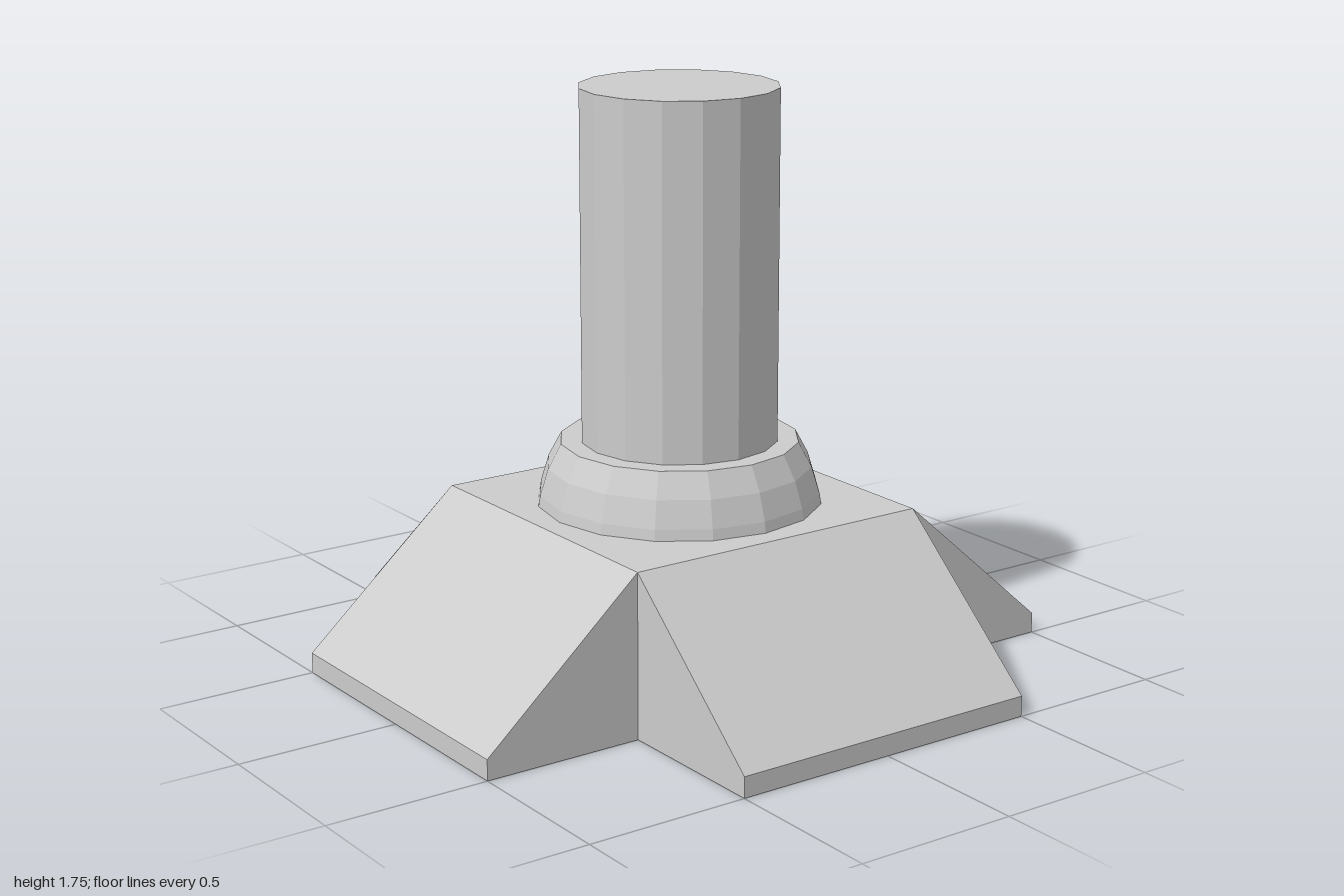
import * as THREE from 'three';

export function createModel() {
  const model = new THREE.Group();
  model.name = 'pedestal';
  const material = new THREE.MeshStandardMaterial({ color: 0xcccccc, flatShading: true });
  const add = (name, geometry, y = 0) => {
    const mesh = new THREE.Mesh(geometry, material);
    mesh.name = name;
    mesh.position.y = y;
    model.add(mesh);
    return mesh;
  };

  // Square core of the base
  add('baseCore', new THREE.BoxGeometry(1, 0.5, 1), 0.25);

  // Four sloped feet, one against each side of the core
  const profile = new THREE.Shape([
    new THREE.Vector2(0.5, 0),
    new THREE.Vector2(1, 0),
    new THREE.Vector2(1, 0.063),
    new THREE.Vector2(0.5, 0.5),
  ]);
  const footGeometry = new THREE.ExtrudeGeometry(profile, { depth: 1, bevelEnabled: false });
  footGeometry.translate(0, 0, -0.5);
  ['leftFoot', 'backFoot', 'rightFoot', 'frontFoot'].forEach((name, i) => {
    add(name, footGeometry).rotation.y = i * Math.PI / 2;
  });

  // Rounded collar: a slice of a faceted sphere with a flat top
  const radius = 0.435, centre = 0.448, step = Math.PI / 16;
  const collar = [new THREE.Vector2(0.432, 0.5)];
  for (let i = 1; i <= 3; i++) {
    collar.push(new THREE.Vector2(radius * Math.cos(i * step), centre + radius * Math.sin(i * step)));
  }
  collar.push(new THREE.Vector2(0, collar[3].y));
  add('collar', new THREE.LatheGeometry(collar, 16));

  // Sixteen-sided post
  const bottom = 0.5, top = 1.755;
  add('post', new THREE.CylinderGeometry(0.298, 0.298, top - bottom, 16), (top + bottom) / 2);

  return model;
}
